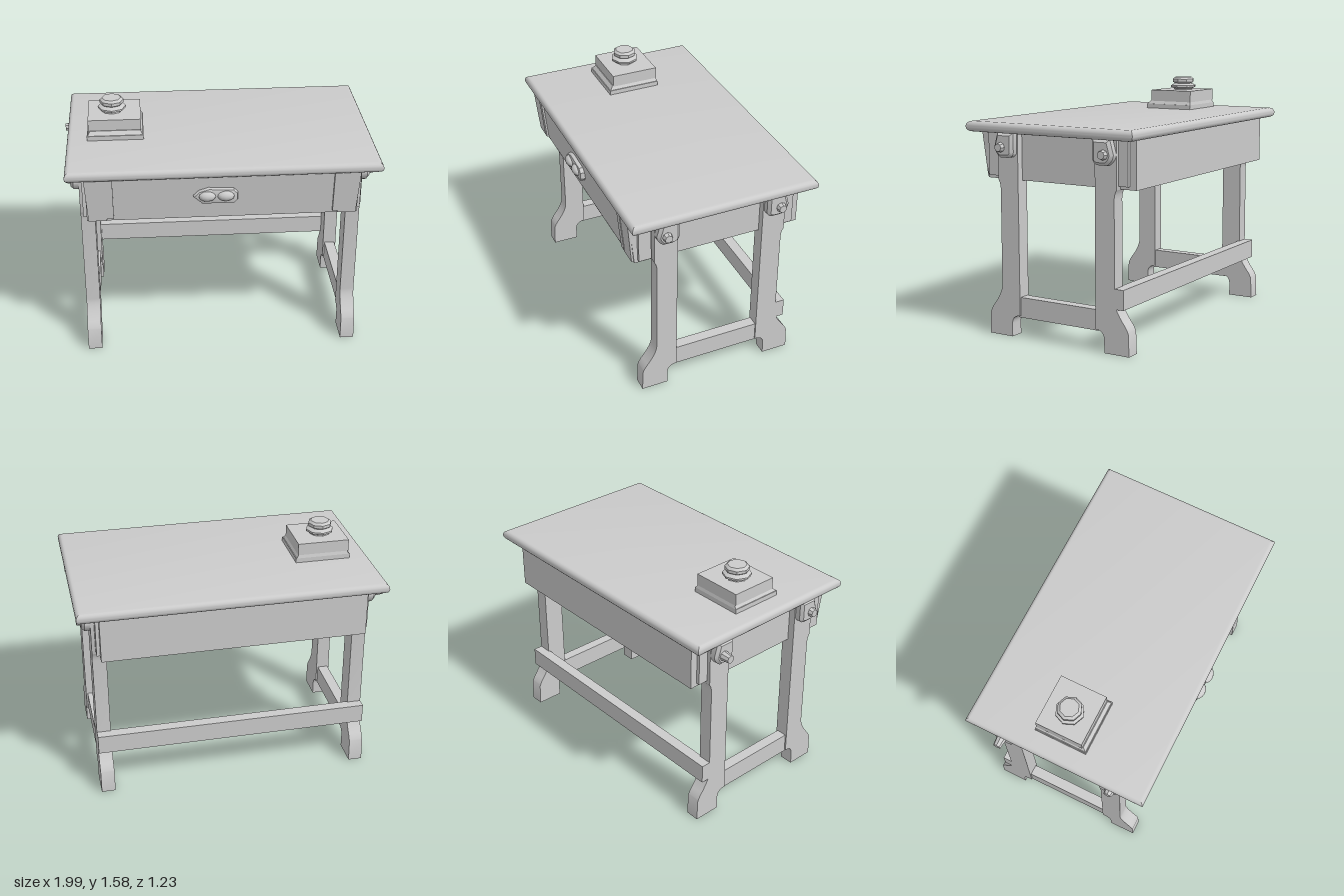
import * as THREE from 'three';
import { toCreasedNormals } from 'three/addons/utils/BufferGeometryUtils.js';

const material = new THREE.MeshStandardMaterial({ color: 0xcccccc });

export function createModel() {
  const model = new THREE.Group();

  const add = (name, geometry, x = 0, y = 0, z = 0) => {
    const mesh = new THREE.Mesh(toCreasedNormals(geometry, 0.6), material);
    mesh.name = name;
    mesh.position.set(x, y, z);
    model.add(mesh);
    return mesh;
  };

  // Box given by its limits; the optional rule moves its vertices
  const box = (name, x0, x1, y0, y1, z0, z1, rule) => {
    const g = new THREE.BoxGeometry(x1 - x0, y1 - y0, z1 - z0);
    g.translate((x0 + x1) / 2, (y0 + y1) / 2, (z0 + z1) / 2);
    if (rule) {
      const p = g.attributes.position;
      const v = new THREE.Vector3();
      for (let i = 0; i < p.count; i++) {
        rule(v.fromBufferAttribute(p, i));
        p.setXYZ(i, v.x, v.y, v.z);
      }
      g.computeVertexNormals();
    }
    return add(name, g);
  };

  // Side profile in (z, y), given a thickness along x and centred on x = 0
  const sideExtrude = (shape, width, bevel = 0) => {
    const g = new THREE.ExtrudeGeometry(shape, {
      depth: width - 2 * bevel, curveSegments: 8, bevelEnabled: bevel > 0,
      bevelSize: bevel, bevelThickness: bevel, bevelOffset: -bevel, bevelSegments: 1,
    });
    g.translate(0, 0, bevel - width / 2);
    return g.rotateY(-Math.PI / 2);
  };

  // Tabletop with a rounded edge
  const r = 0.03;
  const plan = new THREE.Shape([[-0.965, -0.605], [0.985, -0.605], [0.985, 0.605], [-0.965, 0.605]]
    .map(([x, y]) => new THREE.Vector2(x, y)));
  const top = new THREE.ExtrudeGeometry(plan, {
    depth: 0.006, bevelEnabled: true, bevelSize: r, bevelThickness: r, bevelOffset: -r, bevelSegments: 4,
  });
  top.rotateX(-Math.PI / 2);
  add('tabletop', top, 0, 1.299 + r, -0.005);

  // Drawer case, its front leaning in a little towards the bottom
  const lean = (v) => { if (v.z > 0.5) v.z += (v.y - 1.3) * 0.1; };
  box('drawerCase', -0.845, 0.845, 1.0, 1.31, -0.555, 0.565, lean);
  box('drawerFront', -0.68, 0.655, 1.015, 1.3, 0.5, 0.57, lean);

  for (const side of [-1, 1]) {
    const inner = 0.72;
    // Corner blocks and upright mouldings on the front
    box('cornerBlock', Math.min(side * inner, side * 0.852), Math.max(side * inner, side * 0.852),
      1.005, 1.305, 0.44, 0.578, (v) => {
        lean(v);
        if (v.y < 1.1 && Math.abs(v.x) > 0.8) v.x = side * 0.835;
      });
    const m = side < 0 ? -0.7 : 0.71;
    box('frontMoulding', m - 0.022, m + 0.022, 1.02, 1.3, 0.5, 0.582, lean);

    // Corner strips on the ends
    for (const [z0, z1] of [[0.435, 0.515], [-0.51, -0.44]]) {
      const x = side * 0.855;
      box('endStrip', x - 0.012, x + 0.012, 1.02, 1.3, z0, z1);
    }

    // Legs with flared feet; the back pair mirrors the front pair
    for (const end of [1, -1]) {
      const z = (v) => end * v - (end < 0 ? 0.02 : 0);
      const s = new THREE.Shape();
      s.moveTo(z(0.335), 0);
      s.lineTo(z(0.51), 0);
      s.lineTo(z(0.505), 0.14);
      s.quadraticCurveTo(z(0.495), 0.17, z(0.47), 0.2);
      s.quadraticCurveTo(z(0.41), 0.28, z(0.41), 0.33);
      s.lineTo(z(0.408), 0.94);
      s.quadraticCurveTo(z(0.41), 0.98, z(0.425), 1.0);
      s.lineTo(z(0.425), 1.3);
      s.lineTo(z(0.273), 1.3);
      s.lineTo(z(0.273), 0.14);
      s.quadraticCurveTo(z(0.335), 0.14, z(0.335), 0.08);
      s.closePath();
      add(end > 0 ? 'frontLeg' : 'backLeg', sideExtrude(s, 0.09), side * 0.845);

      // Rounded cheek on the top of each leg
      const c = new THREE.Shape();
      c.moveTo(z(0.28), 1.3);
      c.lineTo(z(0.28), 1.18);
      c.quadraticCurveTo(z(0.285), 1.145, z(0.33), 1.145);
      c.lineTo(z(0.38), 1.145);
      c.quadraticCurveTo(z(0.42), 1.17, z(0.425), 1.21);
      c.lineTo(z(0.4), 1.3);
      c.closePath();
      add('legCheek', sideExtrude(c, 0.09, 0.018), side * 0.897);

      // Bolt head on the cheek
      const reach = side < 0 && end < 0 ? 0.06 : 0.03;
      const bolt = new THREE.CylinderGeometry(0.025, 0.032, reach, 8).rotateZ(-side * Math.PI / 2);
      add('bolt', bolt, side * (0.94 + reach / 2), 1.21, z(0.365));
    }

    const x = side * 0.845;
    box('sideStretcher', x - 0.035, x + 0.035, 0.13, 0.26, -0.31, 0.29);
  }

  // Long stretcher fixed behind the back legs
  box('backStretcher', -0.89, 0.89, 0.28, 0.405, -0.49, -0.42);

  // Drawer pull: plate with two cup-shaped bosses
  const pull = new THREE.Shape([[-0.185, 1.17], [-0.13, 1.12], [0.07, 1.12], [0.09, 1.145],
    [0.09, 1.19], [0.065, 1.215], [-0.09, 1.225], [-0.15, 1.205]].map(([a, b]) => new THREE.Vector2(a, b)));
  add('pullPlate', new THREE.ExtrudeGeometry(pull, {
    depth: 0.025, bevelSize: 0.015, bevelThickness: 0.015, bevelOffset: -0.015, bevelSegments: 2,
  }), 0, 0, 0.55);
  for (const x of [-0.1, 0.015]) {
    add('pullBoss', new THREE.SphereGeometry(1, 12, 8).scale(0.055, 0.034, 0.035), x, 1.175, 0.583);
  }

  // Inkwell: stepped base, block and faceted stopper
  box('inkwellBase', -0.835, -0.475, 1.36, 1.395, -0.19, 0.155);
  box('inkwellStep', -0.83, -0.48, 1.395, 1.42, -0.19, 0.15, (v) => {
    if (v.y > 1.41) { v.x = v.x < -0.6 ? -0.815 : -0.495; v.z = v.z < 0 ? -0.183 : 0.13; }
  });
  box('inkwellBlock', -0.825, -0.49, 1.415, 1.492, -0.185, 0.125);
  const stopper = [[0, 1.485], [0.068, 1.485], [0.068, 1.5], [0.09, 1.51], [0.09, 1.522],
    [0.062, 1.536], [0.077, 1.546], [0.077, 1.566], [0.06, 1.58], [0, 1.58]]
    .map(([a, b]) => new THREE.Vector2(a, b));
  add('inkwellStopper', new THREE.LatheGeometry(stopper, 8), -0.672, 0, -0.03);

  return model;
}
